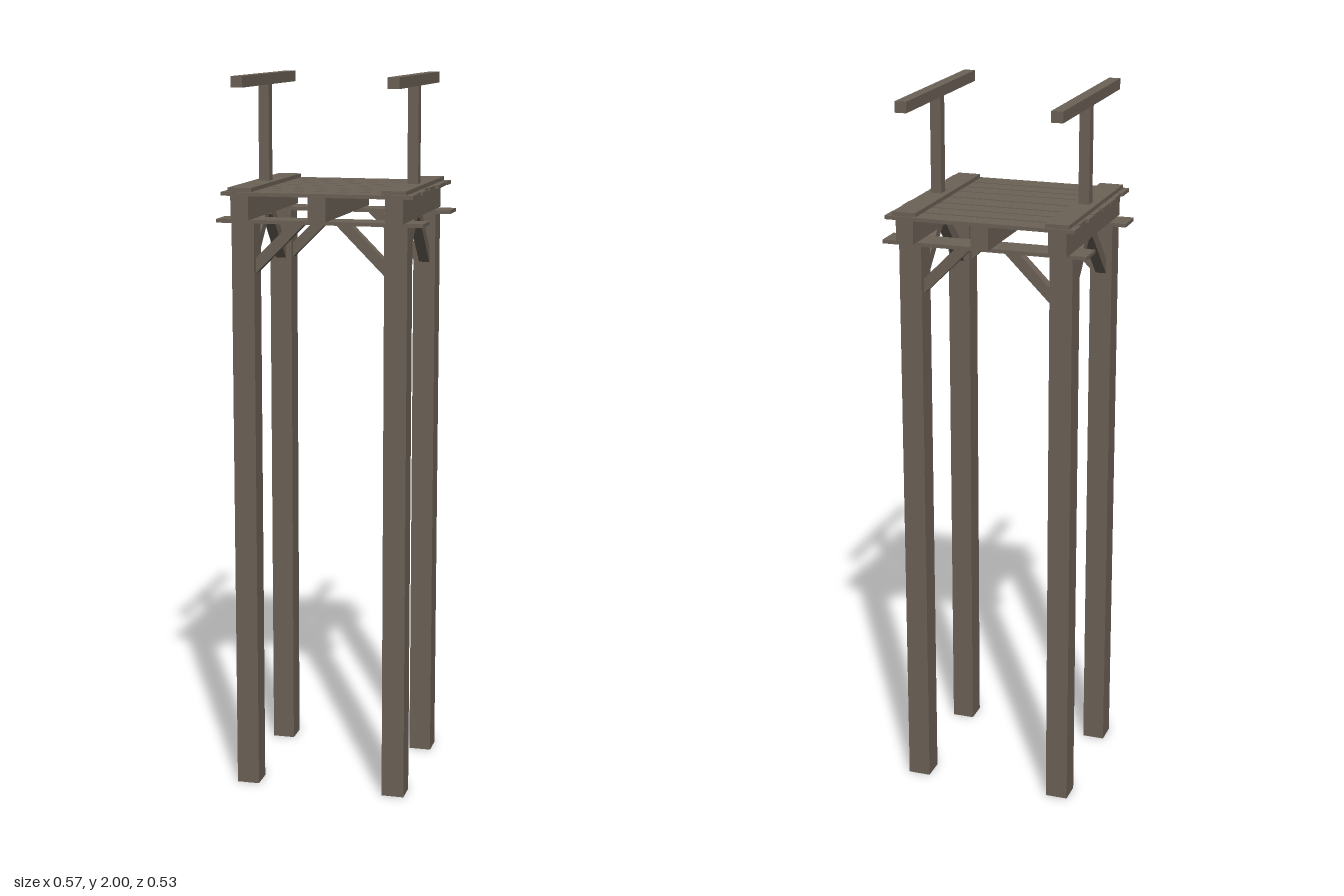
import * as THREE from 'three';

export function createModel() {
  const model = new THREE.Group();
  model.name = 'woodenWatchtower';
  const wood = new THREE.MeshStandardMaterial({ color: 0x6b6157 });
  wood.name = 'weatheredWood';

  // Box given by its extents on each axis
  function beam(name, [x0, x1], [y0, y1], [z0, z1]) {
    const mesh = new THREE.Mesh(new THREE.BoxGeometry(x1 - x0, y1 - y0, z1 - z0), wood);
    mesh.position.set((x0 + x1) / 2, (y0 + y1) / 2, (z0 + z1) / 2);
    mesh.name = name;
    model.add(mesh);
  }

  // Diagonal brace: starts at the origin and runs along +x while rising
  const braceShape = new THREE.Shape([
    [0, 1.47], [0.14, 1.61], [0.14, 1.618], [0.106, 1.618], [0, 1.512],
  ].map(([x, y]) => new THREE.Vector2(x, y)));
  const braceGeometry = new THREE.ExtrudeGeometry(braceShape, { depth: 0.03, bevelEnabled: false });
  braceGeometry.translate(0, 0, -0.015);
  function brace(name, x, z, turn) {
    const mesh = new THREE.Mesh(braceGeometry, wood);
    mesh.position.set(x, 0, z);
    mesh.rotation.y = turn;
    mesh.name = name;
    model.add(mesh);
  }

  // Legs, each with one brace sideways and one brace lengthways
  const legX = [[-0.246, -0.183], [0.178, 0.241]];
  const legZ = [[-0.217, -0.151], [0.16, 0.225]];
  legX.forEach((xs, i) => legZ.forEach((zs, j) => {
    beam('leg', xs, [0, 1.612], zs);
    const midX = (xs[0] + xs[1]) / 2, midZ = (zs[0] + zs[1]) / 2;
    brace('sideBrace', i ? xs[0] : xs[1], midZ, i ? Math.PI : 0);
    brace('longBrace', midX, j ? zs[0] : zs[1], j ? Math.PI / 2 : -Math.PI / 2);
  }));

  // Thin boards lying across the leg tops
  for (const zs of [[-0.228, -0.146], [0.151, 0.233]]) {
    beam('crossBoard', [-0.287, 0.285], [1.608, 1.618], zs);
  }

  // Floor joists
  for (const xs of [[-0.24, -0.19], [-0.025, 0.024], [0.186, 0.235]]) {
    beam('joist', xs, [1.618, 1.685], [-0.253, 0.253]);
  }

  // Uneven floor planks: x extent, z extent
  const planks = [
    [-0.264, 0.263, -0.263, -0.204],
    [-0.256, 0.261, -0.196, -0.138],
    [-0.264, 0.263, -0.132, -0.078],
    [-0.262, 0.255, -0.07, -0.004],
    [-0.263, 0.25, 0.004, 0.071],
    [-0.264, 0.263, 0.077, 0.13],
    [-0.26, 0.257, 0.137, 0.19],
    [-0.264, 0.263, 0.197, 0.263],
  ];
  for (const [x0, x1, z0, z1] of planks) {
    beam('floorPlank', [x0, x1], [1.684, 1.694], [z0, z1]);
  }

  // Edge boards, posts and handrails on both sides
  for (const [edge, post, rail] of [
    [[-0.248, -0.182], [-0.229, -0.199], [-0.232, -0.2]],
    [[0.177, 0.243], [0.195, 0.225], [0.194, 0.226]],
  ]) {
    beam('edgeBoard', edge, [1.693, 1.705], [-0.257, 0.253]);
    beam('railPost', post, [1.7, 1.972], [-0.015, 0.016]);
    beam('handrail', rail, [1.97, 2], [-0.266, 0.263]);
  }

  return model;
}
